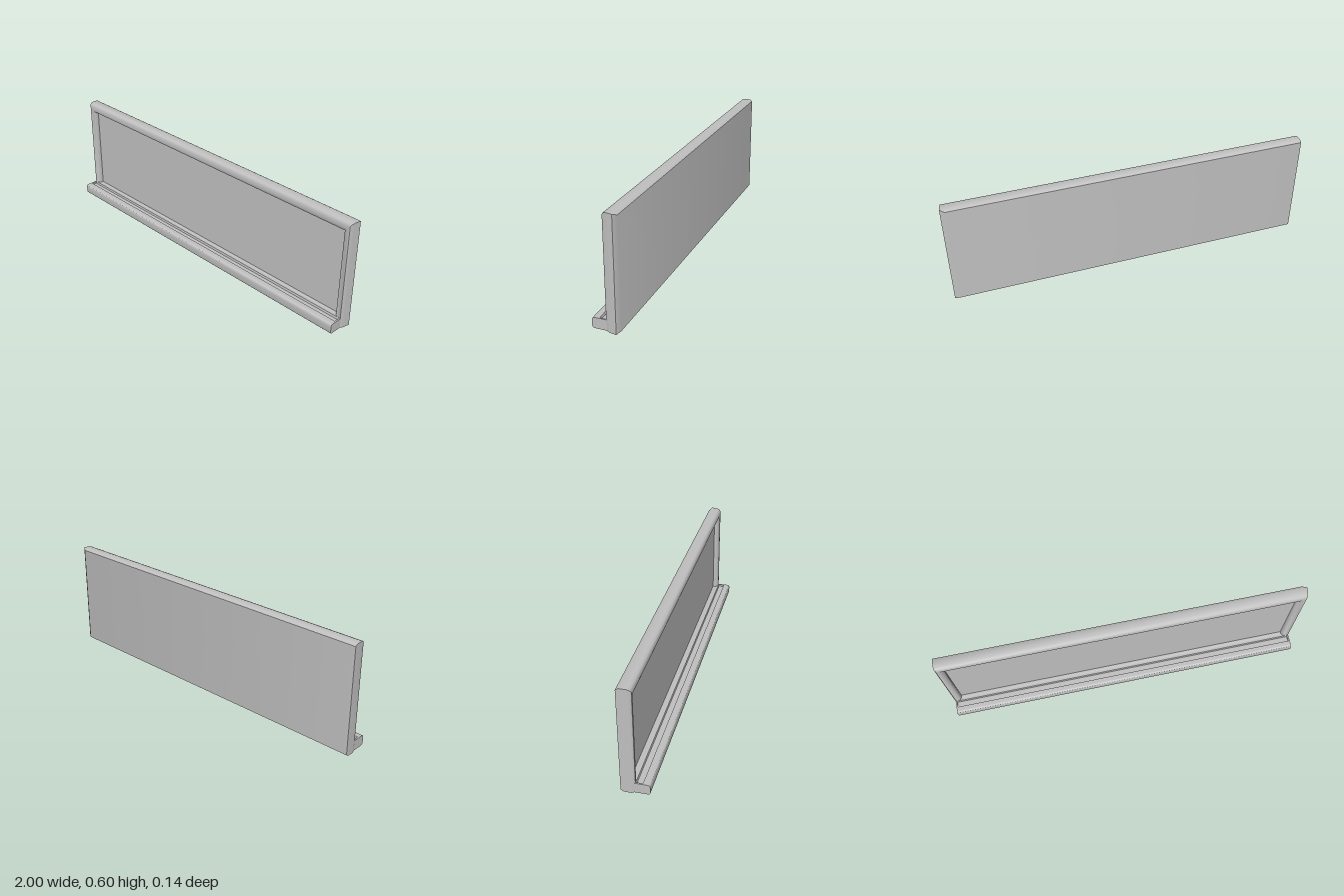
import * as THREE from 'three';
import { toCreasedNormals } from 'three/addons/utils/BufferGeometryUtils.js';

const metal = new THREE.MeshStandardMaterial({ color: 0xbfbfbf });
metal.name = 'light grey';

// Skins a series of rectangles [x0, x1, y0, y1, z], ordered from back to front.
function loftRectangles(rings) {
  const pos = [];
  const corners = ([x0, x1, y0, y1, z]) => [[x0, y0, z], [x1, y0, z], [x1, y1, z], [x0, y1, z]];
  const quad = (a, b, c, d) => pos.push(...a, ...b, ...c, ...a, ...c, ...d);
  for (let i = 0; i < rings.length - 1; i++) {
    const a = corners(rings[i]), b = corners(rings[i + 1]);
    for (let k = 0; k < 4; k++) {
      const n = (k + 1) % 4;
      quad(a[k], a[n], b[n], b[k]);
    }
  }
  const back = corners(rings[0]);
  quad(back[3], back[2], back[1], back[0]);
  const geo = new THREE.BufferGeometry();
  geo.setAttribute('position', new THREE.Float32BufferAttribute(pos, 3));
  return toCreasedNormals(geo, 0.75);
}

// Tray cross-section in (z, y), optionally with a pen groove in its top.
function trayShape(grooved) {
  const z0 = -0.012, z1 = 0.073, y0 = 0.003, y1 = 0.06, r = 0.014;
  const s = new THREE.Shape();
  s.moveTo(z0, y0);
  s.lineTo(z1 - r, y0);
  s.quadraticCurveTo(z1, y0, z1, y0 + r);
  s.lineTo(z1, y1 - r);
  s.quadraticCurveTo(z1, y1, z1 - r, y1);
  if (grooved) {
    s.lineTo(0.036, y1);
    s.lineTo(0.033, y1 - 0.012);
    s.lineTo(0.004, y1 - 0.012);
    s.lineTo(0.001, y1);
  }
  s.lineTo(z0, y1);
  s.closePath();
  return s;
}

function trayPiece(name, xLeft, xRight, grooved) {
  const geo = new THREE.ExtrudeGeometry(trayShape(grooved), {
    depth: xRight - xLeft, bevelEnabled: false, curveSegments: 6,
  });
  geo.rotateY(-Math.PI / 2);
  geo.translate(xRight, 0, 0);
  const mesh = new THREE.Mesh(toCreasedNormals(geo, 0.6), metal);
  mesh.name = name;
  return mesh;
}

export function createModel() {
  const group = new THREE.Group();
  group.name = 'wallBoard';

  // Rounded frame with a flat back, bevelled on its right and top back edges
  const frame = new THREE.Mesh(loftRectangles([
    [-1, 0.975, 0.01, 0.592, -0.072],
    [-1, 0.999, 0, 0.602, -0.057],
    [-1, 0.992, 0, 0.602, -0.02],
    [-0.998, 0.988, 0.003, 0.597, -0.007],
    [-0.992, 0.983, 0.012, 0.586, 0],
    [-0.978, 0.965, 0.045, 0.568, 0],
    [-0.965, 0.952, 0.056, 0.553, -0.006],
    [-0.958, 0.945, 0.06, 0.546, -0.018],
    [-0.958, 0.945, 0.06, 0.546, -0.03],
  ]), metal);
  frame.name = 'frame';
  group.add(frame);

  // Recessed writing surface
  const panel = new THREE.Mesh(new THREE.BoxGeometry(1.92, 0.5, 0.02), metal);
  panel.name = 'boardPanel';
  panel.position.set(-0.0065, 0.303, -0.04);
  group.add(panel);

  // Pen tray with closed ends
  group.add(
    trayPiece('tray', -0.987, 0.977, true),
    trayPiece('trayLeftEnd', 0.977, 0.985, false),
    trayPiece('trayRightEnd', -0.995, -0.987, false),
  );
  return group;
}
